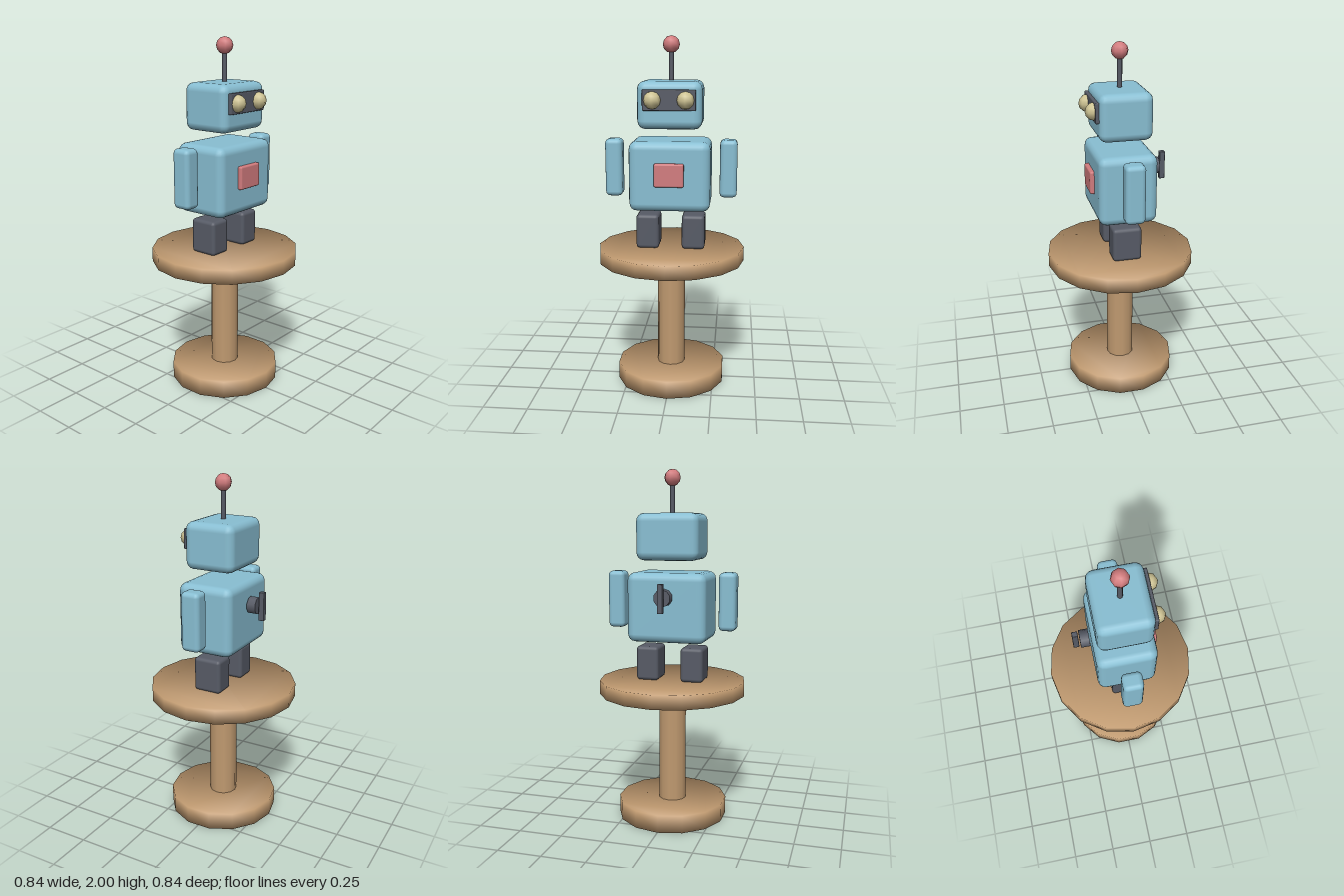
import * as THREE from 'three';
import { RoundedBoxGeometry } from 'three/addons/geometries/RoundedBoxGeometry.js';

const mat = (name, color) => {
  const m = new THREE.MeshStandardMaterial({ color });
  m.name = name;
  return m;
};

// Polygonal disc standing on y = 0, with normals softened over the rim
function discGeometry(r, h, sides) {
  const pts = [];
  for (let i = 0; i < sides; i++) {
    const a = (i / sides) * Math.PI * 2;
    pts.push(new THREE.Vector2(r * Math.sin(-a), r * Math.cos(a)));
  }
  const g = new THREE.ExtrudeGeometry(new THREE.Shape(pts), { depth: h, bevelEnabled: false });
  g.rotateX(-Math.PI / 2);
  const p = g.attributes.position, n = g.attributes.normal;
  for (let i = 0; i < p.count; i++) {
    const up = p.getY(i) > h / 2 ? 0.66 : -0.66;
    n.setXYZ(i, (p.getX(i) / r) * 0.75, up, (p.getZ(i) / r) * 0.75);
  }
  return g;
}

export function createModel() {
  const wood = mat('wood', 0xc09a70);
  const blue = mat('blue', 0x88bed2);
  const grey = mat('darkGrey', 0x575b66);
  const red = mat('red', 0xd27c7e);
  const cream = mat('cream', 0xcfc494);

  const model = new THREE.Group();
  model.name = 'robotOnTable';
  const add = (parent, name, geometry, material, x, y, z) => {
    const m = new THREE.Mesh(geometry, material);
    m.name = name;
    m.position.set(x, y, z);
    parent.add(m);
    return m;
  };
  const box = (w, h, d, r) => new RoundedBoxGeometry(w, h, d, 2, r);

  // Pedestal table
  const table = new THREE.Group();
  table.name = 'table';
  model.add(table);
  add(table, 'base', discGeometry(0.315, 0.1, 14), wood, 0, 0, 0);
  add(table, 'post', new THREE.CylinderGeometry(0.08, 0.08, 0.65, 12, 1, true), wood, 0, 0.42, 0);
  add(table, 'tableTop', discGeometry(0.42, 0.08, 16), wood, 0, 0.735, 0);

  const robot = new THREE.Group();
  robot.name = 'robot';
  model.add(robot);

  // Body and chest panel
  add(robot, 'body', box(0.452, 0.39, 0.325, 0.045), blue, 0, 1.24, 0);
  add(robot, 'chestPanel', box(0.165, 0.13, 0.04, 0.01), red, 0, 1.255, 0.166);

  // Head with visor
  add(robot, 'head', box(0.356, 0.26, 0.294, 0.045), blue, 0, 1.63, 0);
  add(robot, 'visor', box(0.29, 0.112, 0.03, 0.006), grey, 0, 1.66, 0.149);

  // Mirrored parts
  for (const [side, s] of [['left', 1], ['right', -1]]) {
    add(robot, side + 'Eye', new THREE.SphereGeometry(0.048, 8, 6), cream, s * 0.09, 1.66, 0.162);
    add(robot, side + 'Arm', box(0.097, 0.325, 0.11, 0.026), blue, s * 0.324, 1.273, 0);
    add(robot, side + 'Foot', box(0.13, 0.196, 0.164, 0.02), grey, s * 0.13, 0.912, 0);
  }

  // Antenna
  add(robot, 'antennaRod', new THREE.CylinderGeometry(0.014, 0.014, 0.18, 8), grey, 0, 1.835, 0);
  add(robot, 'antennaBall', new THREE.SphereGeometry(0.047, 8, 6), red, 0, 1.953, 0);

  // Wind-up key on the back
  const key = new THREE.Group();
  key.name = 'windUpKey';
  key.position.set(0, 1.303, 0);
  robot.add(key);
  add(key, 'keyHub', new THREE.CylinderGeometry(0.048, 0.048, 0.05, 10), grey, 0, 0, -0.195)
    .rotation.x = Math.PI / 2;
  add(key, 'keyHandle', box(0.03, 0.16, 0.032, 0.004), grey, 0, 0, -0.243);

  return model;
}
